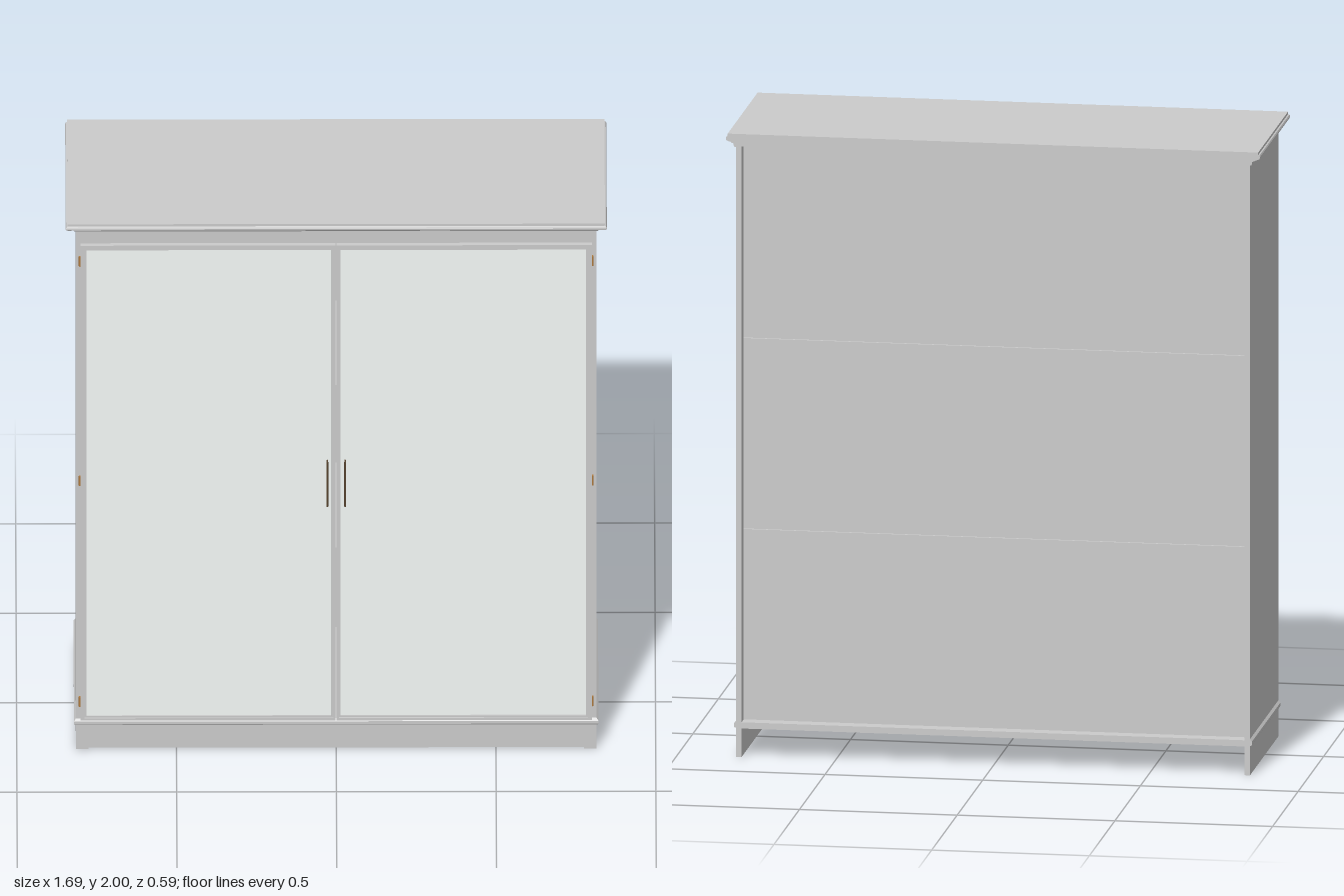
import * as THREE from 'three';

const grey = new THREE.MeshStandardMaterial({ color: 0xcccccc });
const pale = new THREE.MeshStandardMaterial({ color: 0xf5faf7 });
const bronze = new THREE.MeshStandardMaterial({ color: 0x5a4630 });
const brass = new THREE.MeshStandardMaterial({ color: 0xb07a3c });

const W = 0.815, FRONT = 0.26, BACK = -0.3, SIDE = 0.018;

function add(parent, name, geometry, material = grey) {
  const mesh = new THREE.Mesh(geometry, material);
  mesh.name = name;
  parent.add(mesh);
  return mesh;
}

// Box given by its limits on each axis
function box(parent, name, [x0, x1], [y0, y1], [z0, z1], material) {
  const mesh = add(parent, name, new THREE.BoxGeometry(x1 - x0, y1 - y0, z1 - z0), material);
  mesh.position.set((x0 + x1) / 2, (y0 + y1) / 2, (z0 + z1) / 2);
  return mesh;
}

// Closed profile of [outward offset, height] swept round the front and both sides with mitred corners
function moulding(profile) {
  const rows = profile.map(([o, y]) => [
    [-W - o, y, BACK], [-W - o, y, FRONT + o], [W + o, y, FRONT + o], [W + o, y, BACK],
  ]);
  const positions = [];
  const tri = (...corners) => corners.forEach((c) => positions.push(...c));
  rows.forEach((a, i) => {
    const b = rows[(i + 1) % rows.length];
    for (let j = 0; j < 3; j++) {
      tri(a[j], a[j + 1], b[j + 1]);
      tri(a[j], b[j + 1], b[j]);
    }
  });
  // end caps at the back
  const points = profile.map(([o, y]) => new THREE.Vector2(o, y));
  for (const [a, b, c] of THREE.ShapeUtils.triangulateShape(points, [])) {
    tri(rows[a][0], rows[b][0], rows[c][0]);
    tri(rows[c][3], rows[b][3], rows[a][3]);
  }
  const geometry = new THREE.BufferGeometry();
  geometry.setAttribute('position', new THREE.Float32BufferAttribute(positions, 3));
  geometry.computeVertexNormals();
  return geometry;
}

// Rectangular frame: outer limits, hole limits, depth from z0 to z1
function frame(parent, name, x, y, hx, hy, z0, z1) {
  const corners = ([a, b], [c, d]) => [[a, c], [b, c], [b, d], [a, d]].map((p) => new THREE.Vector2(...p));
  const shape = new THREE.Shape(corners(x, y));
  shape.holes.push(new THREE.Path(corners(hx, hy).reverse()));
  const mesh = add(parent, name, new THREE.ExtrudeGeometry(shape, { depth: z1 - z0, bevelEnabled: false }));
  mesh.position.z = z0;
}

function rod(parent, name, radius, length, x, y, z, material) {
  const mesh = add(parent, name, new THREE.CylinderGeometry(radius, radius, length, 12), material);
  mesh.position.set(x, y, z);
  return mesh;
}

function createDoor(side) {
  const door = new THREE.Group();
  door.name = side > 0 ? 'leftDoor' : 'rightDoor';
  const span = (a, b) => (side > 0 ? [a, b] : [-b, -a]);
  frame(door, 'doorFrame', span(0.0015, 0.8), [0.117, 1.911], span(0.009, 0.788), [0.126, 1.898], FRONT, 0.274);
  frame(door, 'doorBead', span(0.009, 0.788), [0.126, 1.898], span(0.014, 0.782), [0.132, 1.891], FRONT, 0.27);
  box(door, 'doorPanel', span(0.009, 0.788), [0.126, 1.898], [FRONT, 0.266], pale);

  // slim bar handle on two short posts
  const handle = new THREE.Group();
  handle.name = 'handle';
  rod(handle, 'handleBar', 0.003, 0.168, side * 0.028, 1.018, 0.288, bronze);
  for (const y of [0.942, 1.094]) {
    rod(handle, 'handlePost', 0.0025, 0.022, side * 0.028, y, 0.277, bronze).rotation.x = Math.PI / 2;
  }
  door.add(handle);

  for (const y of [0.184, 1.018, 1.847]) rod(door, 'hinge', 0.004, 0.036, side * 0.802, y, 0.266, brass);
  return door;
}

export function createModel() {
  const wardrobe = new THREE.Group();
  wardrobe.name = 'wardrobe';
  const inner = [-W + SIDE, W - SIDE];

  // carcass
  for (const s of [-1, 1]) {
    const x = s > 0 ? [W - SIDE, W] : [-W, -W + SIDE];
    box(wardrobe, 'sidePanel', x, [0.11, 1.96], [BACK, FRONT]);
    box(wardrobe, 'plinthSide', x, [0, 0.096], [BACK, FRONT - 0.04]);
    box(wardrobe, 'plinthPost', s > 0 ? [0.775, W] : [-W, -0.775], [0, 0.096], [FRONT - 0.04, FRONT]);
  }
  box(wardrobe, 'plinthFront', [-0.775, 0.775], [0, 0.096], [FRONT - 0.026, FRONT - 0.008]);
  box(wardrobe, 'floor', inner, [0.092, 0.112], [BACK, FRONT]);
  box(wardrobe, 'headerRail', inner, [1.9, 1.96], [FRONT - 0.02, FRONT]);

  // recessed back in three boards, with a shelf behind each seam
  const seams = [0.112, 0.725, 1.338, 1.96];
  for (let i = 0; i < 3; i++) {
    box(wardrobe, 'backBoard', inner, [seams[i] + 0.001, seams[i + 1] - 0.001], [-0.262, -0.254]);
    if (i) box(wardrobe, 'shelf', inner, [seams[i] - 0.009, seams[i] + 0.009], [-0.254, 0.22]);
  }

  // base moulding and cornice
  add(wardrobe, 'baseMoulding', moulding([
    [-SIDE, 0.094], [0.004, 0.094], [0.006, 0.098], [0.006, 0.108], [0, 0.116], [-SIDE, 0.116],
  ]));
  add(wardrobe, 'cornice', moulding([
    [-SIDE, 1.958], [0.004, 1.958], [0.007, 1.963], [0.007, 1.969], [0.013, 1.971], [0.019, 1.975],
    [0.026, 1.976], [0.031, 1.98], [0.032, 1.985], [0.03, 1.99], [0.026, 1.992], [0.026, 2], [-SIDE, 2],
  ]));
  box(wardrobe, 'topPanel', inner, [1.96, 2], [BACK, FRONT - SIDE]);

  wardrobe.add(createDoor(1), createDoor(-1));
  return wardrobe;
}
